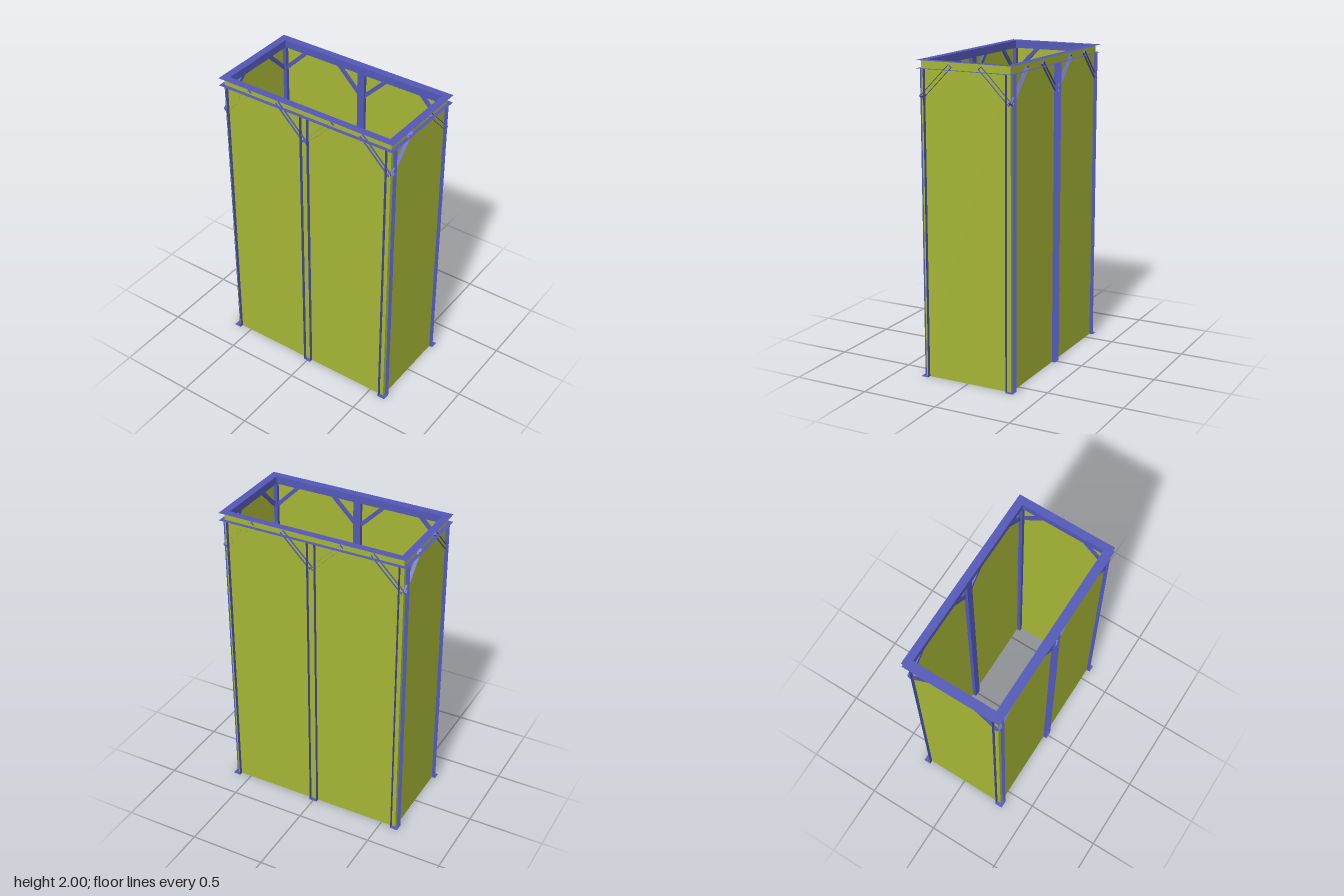
import * as THREE from 'three';

const X = 0.6, Z = 0.3, H = 2;   // panel half width, half depth, height
const BAR = 0.05, BRACE = 0.025; // steel section sizes
const BEAM_Y = H - BAR / 2;

const steel = new THREE.MeshStandardMaterial({ color: 0x5358b8, side: THREE.DoubleSide, flatShading: true });
const cladding = new THREE.MeshStandardMaterial({ color: 0xa5b535, side: THREE.DoubleSide, flatShading: true });

// Thin-walled box without the listed faces (0 +x, 1 -x, 2 +y, 3 -y, 4 +z, 5 -z)
function openBox(w, h, d, dropped) {
  const geometry = new THREE.BoxGeometry(w, h, d);
  const index = Array.from(geometry.index.array);
  geometry.setIndex(index.filter((_, i) => !dropped.includes(Math.floor(i / 6))));
  geometry.clearGroups();
  return geometry;
}

function add(parent, name, geometry, material, x, y, z) {
  const mesh = new THREE.Mesh(geometry, material);
  mesh.name = name;
  mesh.position.set(x, y, z);
  parent.add(mesh);
  return mesh;
}

// Diagonal channel rising at 45 degrees from a post to the beam, open on its +z face
function addBrace(parent, postX, dir, z) {
  const run = 0.2, low = 1.775;
  const brace = add(parent, 'brace', openBox(run * Math.SQRT2, BRACE, BRACE, [4]), steel,
    postX + dir * run / 2, low + run / 2, z);
  brace.rotation.z = dir * Math.PI / 4;
}

// One wall facing +z: panel, beam, braces and any posts between the corners
function makeWall(name, half, offset, middlePosts) {
  const wall = new THREE.Group();
  wall.name = name;
  add(wall, 'panel', new THREE.PlaneGeometry(2 * half, H), cladding, 0, H / 2, offset);
  add(wall, 'topBeam', openBox(2 * half - BAR, BAR, BAR, [0, 1, 2, 4]), steel, 0, BEAM_Y, offset);
  for (const side of [-1, 1]) addBrace(wall, side * half, -side, offset);
  for (const x of middlePosts) {
    add(wall, 'middlePost', openBox(BAR, H - BAR, BAR, [2, 4]), steel, x, (H - BAR) / 2, offset);
    for (const dir of [-1, 1]) addBrace(wall, x, dir, offset);
  }
  return wall;
}

export function createModel() {
  const model = new THREE.Group();
  model.name = 'cladFrame';

  // Four walls, turned to face outwards
  const walls = [
    ['frontWall', X, Z, [0], 0],
    ['leftWall', Z, X, [], Math.PI / 2],
    ['backWall', X, Z, [0], Math.PI],
    ['rightWall', Z, X, [], -Math.PI / 2],
  ];
  for (const [name, half, offset, posts, angle] of walls) {
    const wall = makeWall(name, half, offset, posts);
    wall.rotation.y = angle;
    model.add(wall);
  }

  // Corner posts, open on their two outer faces
  for (const sx of [-1, 1]) {
    for (const sz of [-1, 1]) {
      const dropped = [sx > 0 ? 0 : 1, sz > 0 ? 4 : 5];
      add(model, 'cornerPost', openBox(BAR, H - BAR, BAR, dropped), steel, sx * X, (H - BAR) / 2, sz * Z);
    }
  }

  // Flat flange ring closing the tops of the beams
  const rect = (Type, a, b) => new Type([[-a, -b], [a, -b], [a, b], [-a, b]].map(p => new THREE.Vector2(...p)));
  const ring = rect(THREE.Shape, X + BAR / 2, Z + BAR / 2);
  ring.holes.push(rect(THREE.Path, X - BAR / 2, Z - BAR / 2));
  const flange = new THREE.ShapeGeometry(ring).rotateX(-Math.PI / 2);
  add(model, 'topFlange', flange, steel, 0, H, 0);

  return model;
}
